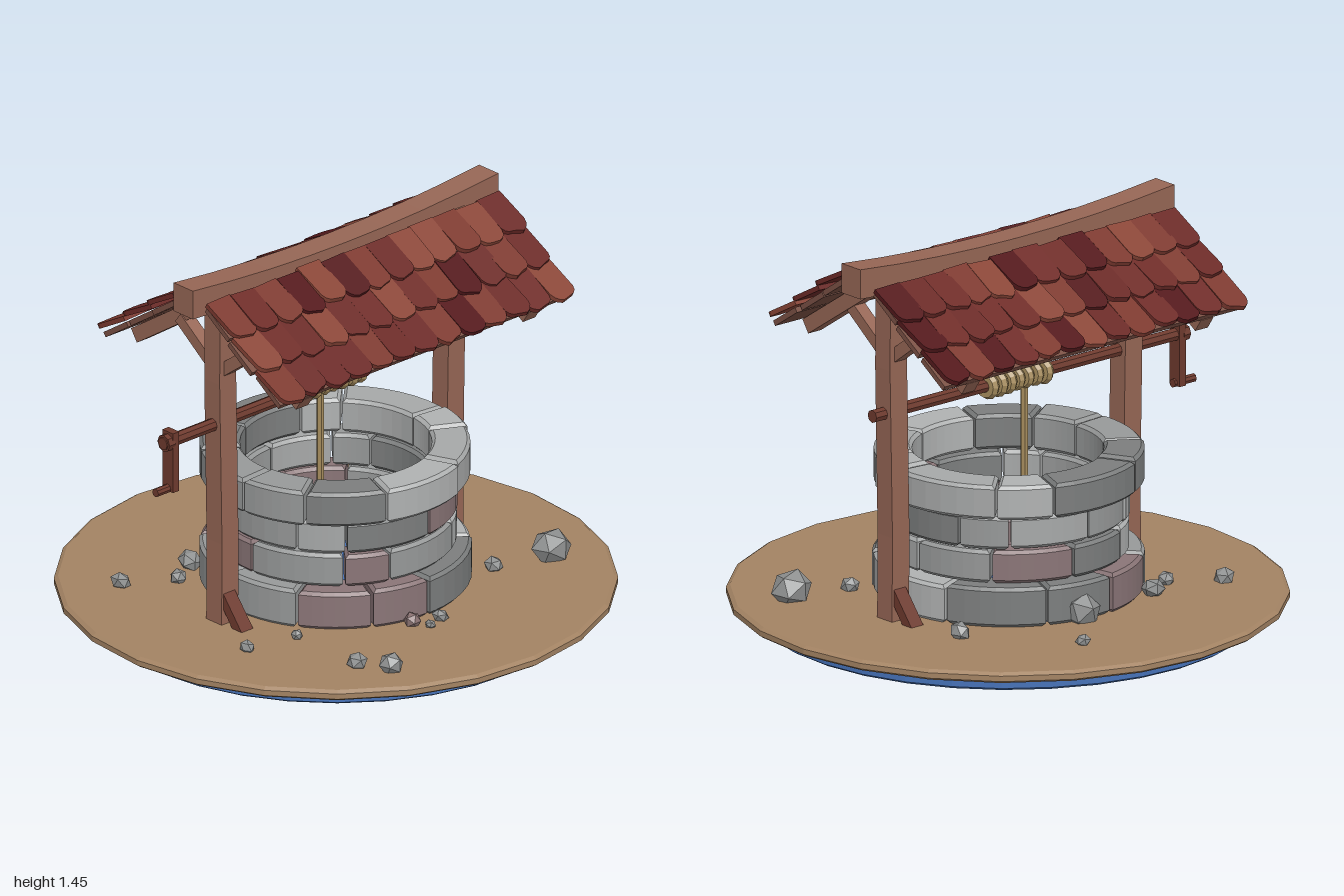
import * as THREE from 'three';

const mat = (color) => new THREE.MeshStandardMaterial({ color, flatShading: true });
const WOOD = mat(0x966655), PLANK = mat(0x7a5044), DARK_WOOD = mat(0x6e3a2e), ROPE = mat(0xa88e5e);
const DIRT = mat(0xa38363), WATER = mat(0x4672b8);
const STONES = [0xa6a8a8, 0x979999, 0x8a7577, 0xb0b2b2, 0x7c7e7e].map(mat);
const TILES = [0x6b2a27, 0x54191c, 0x7d3a30, 0x6f2d29, 0x8a4638].map(mat);
const ROCK = mat(0x8e9090), BROWN_ROCK = mat(0x8a7272);

// Small seeded generator for hand-made irregularity
let seed = 7;
const rand = () => (seed = (seed * 16807) % 2147483647) / 2147483647;
const jitter = (a) => (rand() * 2 - 1) * a;
const pick = (list) => list[Math.floor(rand() * list.length)];

function add(parent, name, geometry, material, x = 0, y = 0, z = 0) {
  const mesh = new THREE.Mesh(geometry, material);
  mesh.name = name;
  mesh.position.set(x, y, z);
  parent.add(mesh);
  return mesh;
}

function group(parent, name) {
  const g = new THREE.Group();
  g.name = name;
  parent.add(g);
  return g;
}

const lathe = (points, sides) =>
  new THREE.LatheGeometry(points.map(([r, y]) => new THREE.Vector2(r, y)), sides);

// Square beam between two points in the xy plane
function beam(parent, name, material, [x0, y0], [x1, y1], z, thick, depth) {
  const len = Math.hypot(x1 - x0, y1 - y0);
  const b = add(parent, name, new THREE.BoxGeometry(len, thick, depth), material, (x0 + x1) / 2, (y0 + y1) / 2, z);
  b.rotation.z = Math.atan2(y1 - y0, x1 - x0);
  return b;
}

// Curved, bevelled block covering the angles a0..a1 of a ring
function stoneBlock(inner, outer, a0, a1, height) {
  const bevel = 0.012;
  const ri = inner + bevel, ro = outer - bevel;
  const gap = 0.016;
  const s = new THREE.Shape();
  s.absarc(0, 0, ro, a0 + gap / ro, a1 - gap / ro, false);
  s.absarc(0, 0, ri, a1 - gap / ri, a0 + gap / ri, true);
  s.closePath();
  const g = new THREE.ExtrudeGeometry(s, {
    depth: height - 2 * bevel, bevelThickness: bevel, bevelSize: bevel, bevelSegments: 1, curveSegments: 3,
  });
  return g.translate(0, 0, bevel).rotateX(-Math.PI / 2);
}

function buildWall(parent) {
  const wall = group(parent, 'stoneWall');
  // inner radius, outer radius, bottom, height, start angle
  const courses = [
    [0.34, 0.48, 0.1, 0.143, 0.1], [0.33, 0.43, 0.248, 0.122, 0.42],
    [0.33, 0.43, 0.375, 0.12, 0.0], [0.34, 0.48, 0.5, 0.13, 0.3],
  ];
  for (const [inner, outer, y, height, start] of courses) {
    const count = 10;
    const cuts = Array.from({ length: count }, (_, i) => start + ((i + jitter(0.22)) * Math.PI * 2) / count);
    cuts.push(cuts[0] + Math.PI * 2);
    for (let i = 0; i < count; i++) {
      const block = stoneBlock(inner, outer + jitter(0.006), cuts[i], cuts[i + 1], height + jitter(0.004));
      add(wall, 'stone', block, pick(STONES), 0, y, 0);
    }
  }
}

// Roof tile: flat at the top, rounded and slightly uneven at the lower end
function tileGeometry(length, width) {
  const w = width / 2, skew = jitter(0.008);
  const s = new THREE.Shape();
  s.moveTo(0, -w);
  s.lineTo(length * 0.8, -w);
  s.quadraticCurveTo(length * 0.97, -w * 0.9, length + skew, -w * 0.35);
  s.lineTo(length - skew, w * 0.35);
  s.quadraticCurveTo(length * 0.97, w * 0.9, length * 0.8, w);
  s.lineTo(0, w);
  s.closePath();
  return new THREE.ExtrudeGeometry(s, { depth: 0.018, bevelEnabled: false, curveSegments: 3 }).rotateX(-Math.PI / 2);
}

function buildRoofSide(parent, name, turn, lift) {
  const side = group(parent, name);
  side.rotation.y = turn;
  // Local x runs down the slope, local y is the slope normal
  const slope = group(side, 'slope');
  slope.position.set(0.08, 1.37 + lift, 0);
  slope.rotation.z = -0.59;
  for (let i = 0; i < 3; i++) {
    const plank = add(slope, 'roofPlank', new THREE.BoxGeometry(0.142, 0.02, 1.4), PLANK, 0.075 + i * 0.157, -0.012, jitter(0.012));
    plank.rotation.y = jitter(0.004);
  }
  const columns = 13, pitch = 1.41 / columns;
  for (let row = 0; row < 3; row++) {
    for (let c = 0; c < columns; c++) {
      const tile = add(slope, 'roofTile', tileGeometry(0.18, pitch + 0.004), pick(TILES),
        row * 0.152 + jitter(0.007), 0.002 + rand() * 0.003, (c - (columns - 1) / 2) * pitch + jitter(0.004));
      tile.rotation.set(jitter(0.05), jitter(0.04), 0.1 + jitter(0.025));
    }
  }
  // Rafters under the planks
  for (const z of [0.555, -0.545]) {
    add(slope, 'rafter', new THREE.BoxGeometry(0.5, 0.055, 0.06), WOOD, 0.21, -0.052, z);
  }
}

function buildFrame(parent) {
  // Ridge beam that sags towards the middle
  const ridge = new THREE.BoxGeometry(0.1, 0.1, 1.48, 1, 1, 8);
  const p = ridge.attributes.position;
  for (let i = 0; i < p.count; i++) {
    const t = (p.getZ(i) / 0.74) ** 2;
    p.setY(i, p.getY(i) * (0.95 + 0.15 * t) - 0.032 * (1 - t));
  }
  add(parent, 'ridgeBeam', ridge, WOOD, 0, 1.395, 0);

  for (const [name, z, s] of [['front', 0.555, 1], ['back', -0.545, -1]]) {
    const post = new THREE.BoxGeometry(0.08, 1.25, 0.08, 1, 4, 1);
    const v = post.attributes.position;
    for (let i = 0; i < v.count; i++) v.setZ(i, v.getZ(i) + 0.006 * s * Math.sin(v.getY(i) * 4));
    add(parent, name + 'Post', post, WOOD, 0, 0.725, z);
    for (const m of [-1, 1]) {
      beam(parent, name + 'RoofBrace', WOOD, [m * 0.02, 1.08], [m * 0.2, 1.215], z, 0.045, 0.05);
    }
    // Short wedge propping the foot of the post
    const foot = new THREE.Shape();
    [[0.035, 0.225], [0.035, 0.165], [0.085, 0.1], [0.135, 0.1]].forEach(([x, y], i) =>
      i ? foot.lineTo(x, y) : foot.moveTo(x, y));
    const wedge = add(parent, name + 'FootBrace', new THREE.ExtrudeGeometry(foot, { depth: 0.056, bevelEnabled: false }).translate(0, 0, -0.028), DARK_WOOD, 0, 0, z);
    if (s < 0) wedge.rotation.y = Math.PI;
  }
  buildRoofSide(parent, 'leftRoof', 0, 0.015);
  buildRoofSide(parent, 'rightRoof', Math.PI, -0.005);
}

function buildWinch(parent) {
  const winch = group(parent, 'winch');
  winch.position.y = 0.87;
  const rod = (name, r, len, z, y = 0) =>
    add(winch, name, new THREE.CylinderGeometry(r, r, len, 8).rotateX(Math.PI / 2), DARK_WOOD, 0, y, z);
  rod('axle', 0.024, 1.48, 0.1);
  add(winch, 'crankArm', new THREE.BoxGeometry(0.055, 0.23, 0.03), DARK_WOOD, 0, -0.075, 0.8);
  rod('crankHub', 0.032, 0.03, 0.82);
  rod('crankHandle', 0.016, 0.1, 0.825, -0.18);
  // Rope wound round the axle, with its free end hanging into the well
  for (let i = 0; i < 7; i++) {
    const coil = add(winch, 'ropeCoil', new THREE.TorusGeometry(0.031, 0.019, 6, 12), ROPE, 0, 0, 0.16 - i * 0.043);
    coil.rotation.y = 0.16;
    coil.scale.setScalar(1 + jitter(0.06));
  }
  add(winch, 'hangingRope', new THREE.CylinderGeometry(0.014, 0.014, 0.76, 6), ROPE, 0.01, -0.38, 0.085);
}

function buildRocks(parent) {
  // x, z, radius
  const rocks = [
    [-0.66, -0.26, 0.028], [-0.45, -0.07, 0.07], [0.53, 0.01, 0.032], [0.55, 0.08, 0.022],
    [0.6, 0.5, 0.038], [0.71, 0.44, 0.05], [0.43, -0.65, 0.082], [-0.48, 0.6, 0.036],
    [0.23, 0.68, 0.028], [-0.42, 0.31, 0.05], [-0.36, 0.43, 0.035], [0.36, -0.43, 0.035],
    [-0.3, -0.52, 0.04], [0.28, 0.48, 0.025],
  ];
  for (const [x, z, r] of rocks) {
    const rock = add(parent, 'rock', new THREE.IcosahedronGeometry(r, 0), ROCK, x, 0.1 + r * 0.45, z);
    rock.scale.set(1 + jitter(0.15), 0.85 + jitter(0.12), 1 + jitter(0.15));
    rock.rotation.set(jitter(0.5), rand() * 6, jitter(0.5));
  }
  add(parent, 'brownRock', new THREE.IcosahedronGeometry(0.032, 0), BROWN_ROCK, 0.49, 0.115, 0.11);
}

export function createModel() {
  seed = 7;
  const model = new THREE.Group();
  model.name = 'well';

  // Ground ring on top of a blue water disc
  add(model, 'ground', lathe([[0.4, 0.06], [0.985, 0.06], [1, 0.07], [1, 0.09], [0.985, 0.1], [0.4, 0.1], [0.4, 0.06]], 24), DIRT);
  add(model, 'waterBase', lathe([[0, 0], [0.88, 0], [0.9, 0.012], [0.9, 0.038], [0.88, 0.06], [0, 0.06]], 32), WATER);
  add(model, 'waterSurface', new THREE.CylinderGeometry(0.43, 0.43, 0.05, 24), WATER, 0, 0.083, 0);

  buildWall(model);
  buildRocks(model);

  // Timber frame stands slightly twisted on the base
  const frame = group(model, 'timberFrame');
  frame.rotation.y = -0.04;
  buildFrame(frame);
  buildWinch(frame);
  return model;
}
